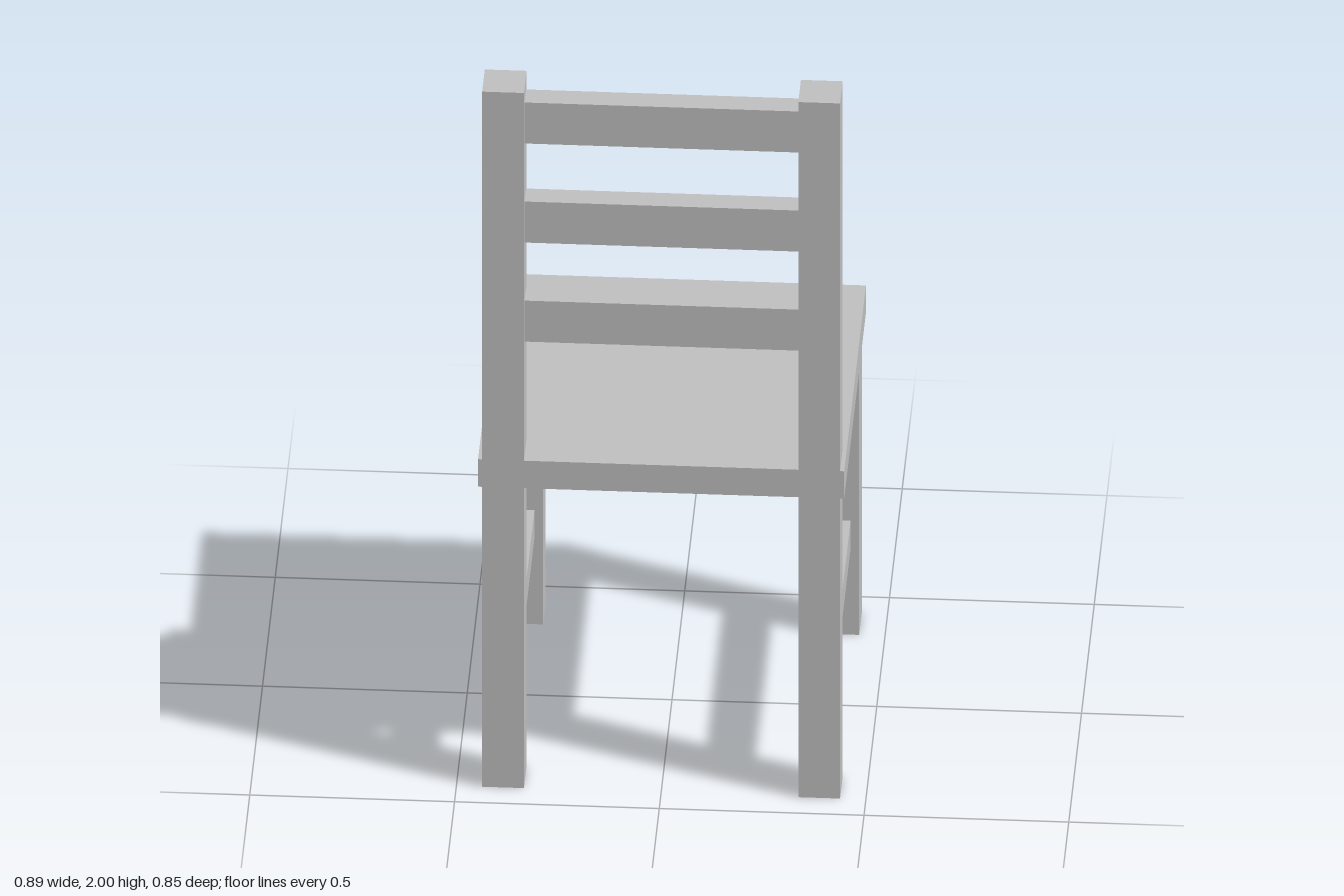
import * as THREE from 'three';

export function createModel() {
  const chair = new THREE.Group();
  chair.name = 'chair';
  const grey = new THREE.MeshStandardMaterial({ color: 0xbfbfbf });
  grey.name = 'grey';

  // Box spanning y0..y1, centred on x and z
  const bar = (name, width, y0, y1, depth, x, z) => {
    const mesh = new THREE.Mesh(new THREE.BoxGeometry(width, y1 - y0, depth), grey);
    mesh.name = name;
    mesh.position.set(x, (y0 + y1) / 2, z);
    chair.add(mesh);
  };

  const post = 0.102, legX = 0.386, legZ = 0.376;
  const seatBottom = 0.863, seatTop = 0.942;

  bar('seat', 0.894, seatBottom, seatTop, 0.854, 0, 0);

  // Legs, backrest posts and side rails, mirrored left and right
  for (const [side, s] of [['left', 1], ['right', -1]]) {
    bar(side + 'BackrestPost', post, 0, 2, post, s * legX, legZ);
    bar(side + 'ShortLeg', post, 0, seatBottom, post, s * legX, -legZ);
    bar(side + 'Rail', 0.06, 0.249, 0.328, 0.65, s * legX, 0);
  }

  // Backrest slats between the posts
  for (let i = 0; i < 3; i++) {
    const y = 1.271 + i * 0.285;
    bar('backrestSlat' + (i + 1), 0.67, y, y + 0.118, 0.06, 0, 0.375);
  }

  return chair;
}
